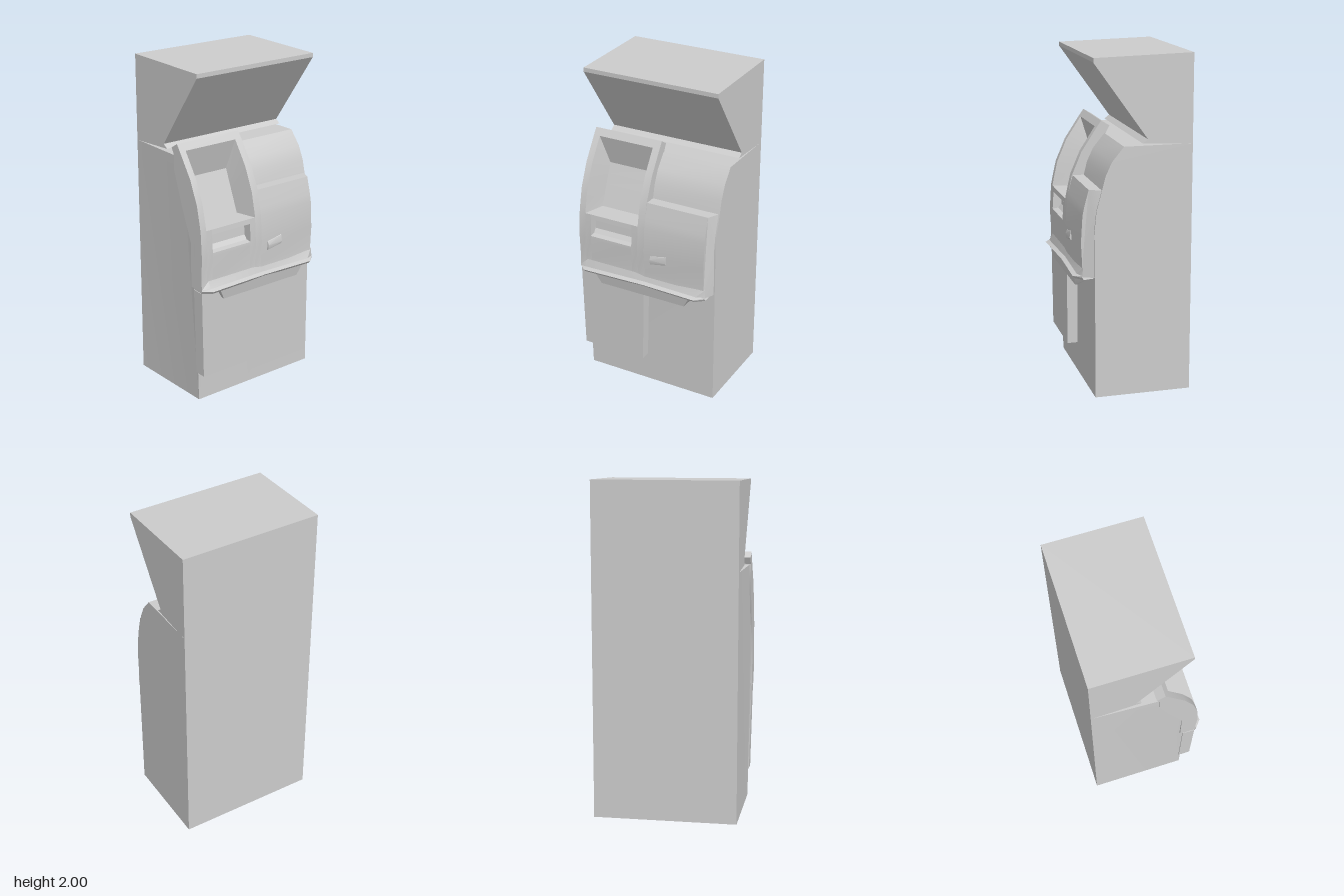
import * as THREE from 'three';
import { toCreasedNormals } from 'three/addons/utils/BufferGeometryUtils.js';

const material = new THREE.MeshStandardMaterial({ color: 0xcccccc, side: THREE.DoubleSide });

function addMesh(group, name, geometry) {
  const mesh = new THREE.Mesh(toCreasedNormals(geometry, 0.45), material);
  mesh.name = name;
  group.add(mesh);
}

// Side profile (x, y) pulled along z, with an optional rule moving its vertices
function slab(points, z0, z1, move) {
  const shape = new THREE.Shape(points.map(([x, y]) => new THREE.Vector2(x, y)));
  const geometry = new THREE.ExtrudeGeometry(shape, { depth: z1 - z0, bevelEnabled: false });
  geometry.translate(0, 0, z0);
  if (move) {
    const p = geometry.attributes.position;
    const v = new THREE.Vector3();
    for (let i = 0; i < p.count; i++) {
      move(v.fromBufferAttribute(p, i));
      p.setXYZ(i, v.x, v.y, v.z);
    }
    geometry.computeVertexNormals();
  }
  return geometry;
}

// Skin between rows of points; each row holds the same number of [x, y, z]
function skin(rows) {
  const n = rows[0].length;
  const index = [];
  for (let r = 0; r < rows.length - 1; r++) {
    for (let i = 0; i < n - 1; i++) {
      const a = r * n + i, b = a + n;
      index.push(a, a + 1, b, a + 1, b + 1, b);
    }
  }
  const geometry = new THREE.BufferGeometry();
  geometry.setAttribute('position', new THREE.Float32BufferAttribute(rows.flat(2), 3));
  geometry.setIndex(index);
  geometry.computeVertexNormals();
  return geometry;
}

// The +z side of the cabinet widens slightly toward the front
function flare(v) {
  if (v.z > 0.41) {
    v.z = 0.415 + 0.025 * ((v.x + 0.345) / 0.575) * Math.min(1, v.y / 0.9);
  }
}

export function createModel() {
  const model = new THREE.Group();
  model.name = 'cashMachine';

  // Cabinet: full slices on either side of a slice hollowed behind the screen
  const base = [[-0.345, 1.485], [-0.345, 0], [0.23, 0], [0.23, 0.92]];
  const full = [...base, [0.232, 1.0], [0.22, 1.12], [0.19, 1.23], [0.167, 1.32], [0.13, 1.4], [0.06, 1.485]];
  const hollow = [...base, [0.2, 0.94], [0.1, 1.0], [0, 1.08], [0, 1.485]];
  addMesh(model, 'cabinetRight', slab(full, -0.44, 0.04));
  addMesh(model, 'cabinetMiddle', slab(hollow, 0.04, 0.40));
  addMesh(model, 'cabinetLeft', slab(full, 0.40, 0.415, flare));

  // Overhanging sign box
  addMesh(model, 'signBox', slab([
    [-0.345, 1.485], [-0.345, 2], [0.235, 1.985], [0.235, 1.96],
    [-0.08, 1.52], [-0.05, 1.497], [-0.27, 1.487],
  ], -0.44, 0.415));

  // Curved screen fascia: side rails, lintel, and lower panel with a scoop
  const curve = [[0.108, 1.52], [0.2, 1.38], [0.26, 1.24], [0.282, 1.14], [0.292, 1.09]];
  const lower = [[0.302, 0.93], [0.295, 0.8], [0.3, 0.73]];
  const rail = [
    [0.03, 1.53], [0.08, 1.56], ...curve, ...lower,
    [0.2, 0.73], [0.2, 1.0], [0.12, 1.2], [0.05, 1.4], [0.05, 1.49],
  ];
  addMesh(model, 'screenRailRight', slab(rail, -0.005, 0.04));
  addMesh(model, 'screenRailLeft', slab(rail, 0.40, 0.44));
  addMesh(model, 'screenLintel', slab([
    [0.03, 1.53], [0.08, 1.56], [0.108, 1.52], [0.06, 1.34],
    [-0.01, 1.34], [-0.01, 1.485], [0.045, 1.485],
  ], 0.04, 0.40));
  const sill = [[0.1, 1.09], [0.292, 1.09]];
  const sillBack = [[0.2, 0.73], [0.2, 0.96], [0.1, 1.02]];
  addMesh(model, 'sillRight', slab([...sill, ...lower, ...sillBack], 0.04, 0.08));
  addMesh(model, 'sillLeft', slab([...sill, ...lower, ...sillBack], 0.36, 0.40));
  addMesh(model, 'sillScoop', slab([
    ...sill, [0.295, 1.06], [0.24, 1.05], [0.245, 0.98], [0.265, 0.955], [0.301, 0.95],
    ...lower, ...sillBack,
  ], 0.08, 0.36));

  // Screen recess: tapering cheeks around a tilted screen
  const rows = curve.map(([x, y], i) => {
    const t = i / (curve.length - 1);
    const bx = 0.06 + 0.1 * t, by = 1.34 - 0.25 * t;
    return [[x, y, 0.40], [bx, by, 0.36], [bx, by, 0.07], [x, y, 0.04]];
  });
  addMesh(model, 'screenRecess', skin(rows));

  // Lower fascia on the right with a slanted outer edge
  addMesh(model, 'keypadPanel', slab([
    [0.18, 1.24], [0.255, 1.24], [0.282, 1.14], [0.292, 1.09], ...lower,
    [0.225, 0.73], [0.225, 1.0], [0.215, 1.12],
  ], -0.40, 0, (v) => {
    if (v.z < -0.3 && v.x < 0.23) v.z = -0.435;
  }));

  // Small card guide on the panel
  addMesh(model, 'cardGuide', slab([
    [0.29, 0.95], [0.304, 0.94], [0.312, 0.9], [0.308, 0.87], [0.29, 0.86],
  ], -0.155, -0.05, (v) => {
    if (v.z < -0.1 && v.y < 0.88) v.y += 0.02;
    if (v.z > -0.1 && v.y > 0.92) v.y -= 0.02;
  }));

  // Shelf: a lip with tapered ends over a narrower lower bulge
  const lip = [[-0.41, 0.3], [-0.36, 0.343], [-0.01, 0.33], [0.39, 0.343], [0.44, 0.302]];
  addMesh(model, 'shelfLip', skin(lip.map(([z, x]) => [
    [0.22, 0.72, z], [x - 0.012, 0.715, z], [x, 0.73, z],
    [Math.max(0.298, x - 0.025), 0.74, z], [0.292, 0.79, z],
  ])));
  addMesh(model, 'shelfBulge', slab([
    [0.22, 0.73], [0.325, 0.73], [0.31, 0.65], [0.295, 0.65], [0.22, 0.7],
  ], -0.32, 0.33, (v) => {
    if (v.y < 0.66) v.z *= 0.87;
  }));

  // Service door
  addMesh(model, 'serviceDoor', slab([
    [0.22, 0.18], [0.292, 0.18], [0.295, 0.74], [0.22, 0.74],
  ], 0.0, 0.437, (v) => {
    if (v.y < 0.3) v.z += v.z > 0.2 ? -0.012 : 0.013;
  }));
  return model;
}
